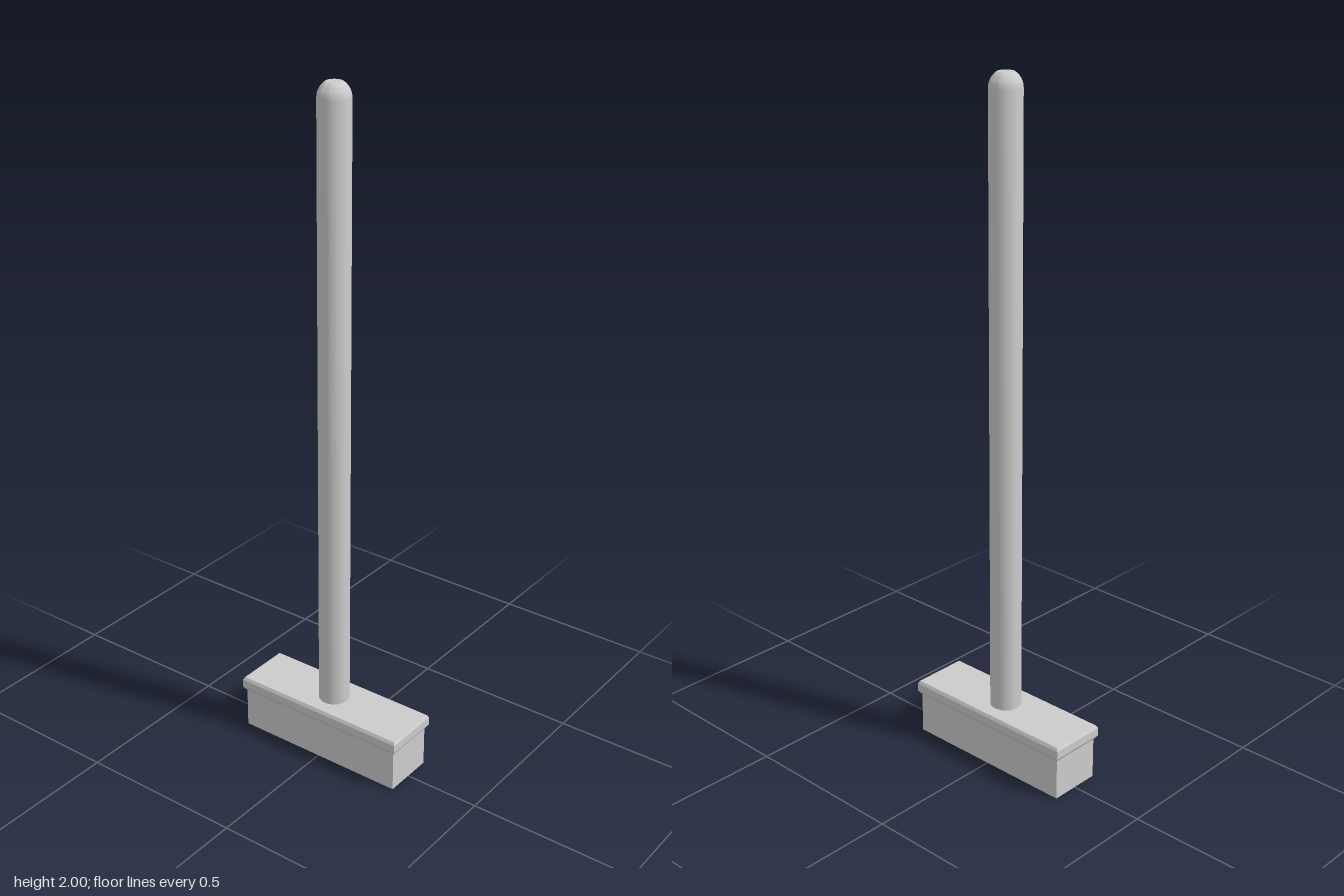
import * as THREE from 'three';
import { toCreasedNormals } from 'three/addons/utils/BufferGeometryUtils.js';

const material = new THREE.MeshStandardMaterial({ color: 0xcccccc });

function addPart(group, name, geometry, y = 0) {
  const mesh = new THREE.Mesh(geometry, material);
  mesh.name = name;
  mesh.position.y = y;
  group.add(mesh);
}

// Upright block with chamfered top and bottom rims
function chamferedBlock(width, height, depth, inset, rise) {
  const w = width / 2 - inset, d = depth / 2 - inset;
  const shape = new THREE.Shape([
    new THREE.Vector2(-w, -d), new THREE.Vector2(w, -d),
    new THREE.Vector2(w, d), new THREE.Vector2(-w, d),
  ]);
  const geometry = new THREE.ExtrudeGeometry(shape, {
    depth: height - 2 * rise, bevelEnabled: true,
    bevelThickness: rise, bevelSize: inset, bevelSegments: 1,
  });
  geometry.rotateX(-Math.PI / 2);
  geometry.translate(0, rise, 0);
  return toCreasedNormals(geometry, 0.3);
}

export function createModel() {
  const group = new THREE.Group();

  // Bristle block and the slightly wider board above it
  addPart(group, 'bristles', new THREE.BoxGeometry(0.158, 0.13, 0.54), 0.065);
  addPart(group, 'headBoard', chamferedBlock(0.176, 0.042, 0.558, 0.005, 0.009), 0.127);

  // Long round handle with a domed end, flattened at the very top
  const r = 0.0455, top = 2, rise = 0.042;
  const profile = [new THREE.Vector2(r, 0.16)];
  for (let i = 0; i <= 6; i++) {
    const a = (i / 6) * (Math.PI / 3);
    profile.push(new THREE.Vector2(
      r * Math.cos(a), top - rise + rise * Math.sin(a) / Math.sin(Math.PI / 3)));
  }
  profile.push(new THREE.Vector2(0, top));
  addPart(group, 'handle', toCreasedNormals(new THREE.LatheGeometry(profile, 32), 0.4));

  return group;
}
